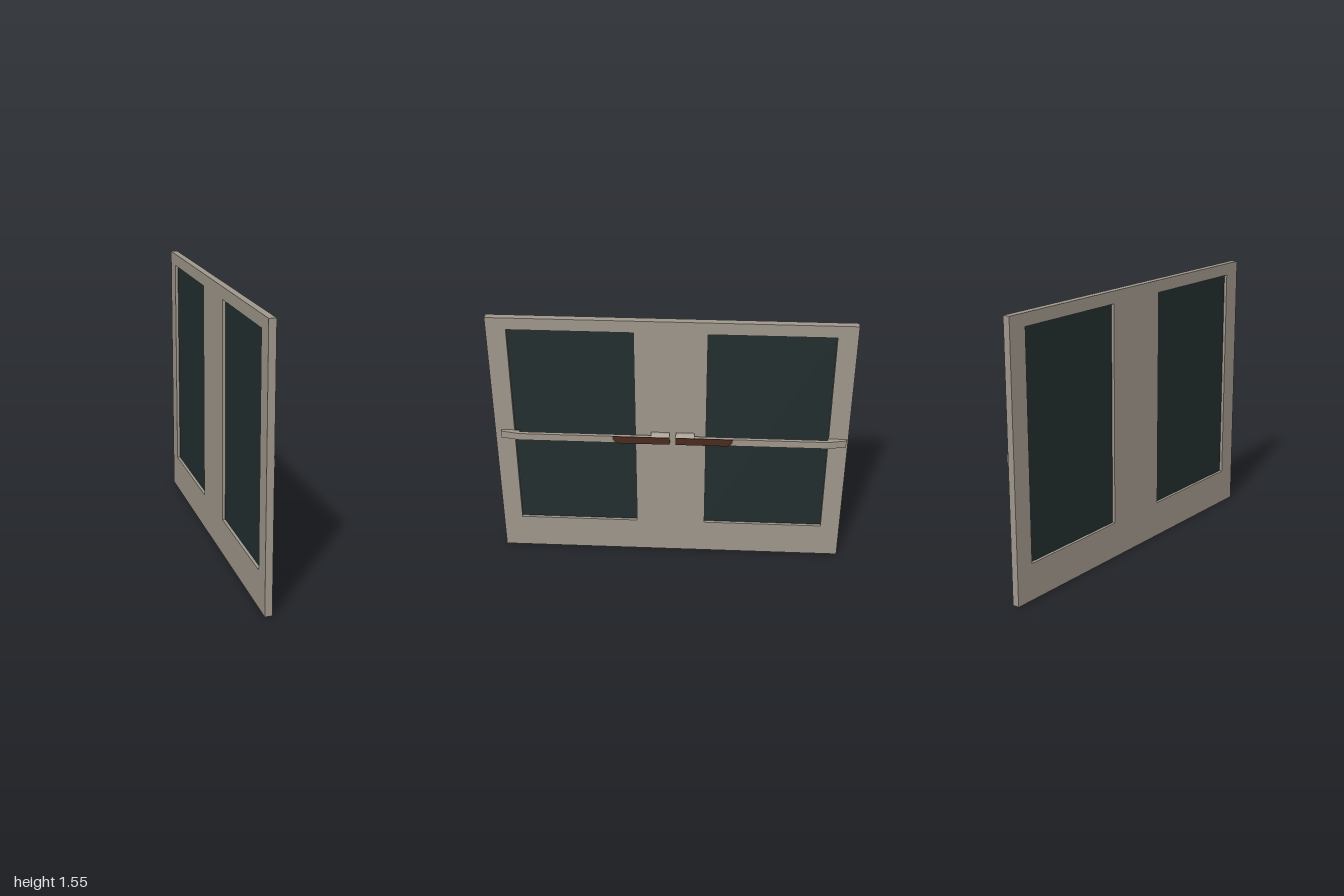
import * as THREE from 'three';

const paint = new THREE.MeshStandardMaterial({ color: 0xa0988c });
paint.name = 'warmGreyPaint';
const glass = new THREE.MeshStandardMaterial({ color: 0x232e2e });
glass.name = 'darkGlass';
const grip = new THREE.MeshStandardMaterial({ color: 0x4a2b20 });
grip.name = 'brownGrip';

const X = new THREE.Vector3(1, 0, 0);
const Y = new THREE.Vector3(0, 1, 0);
const Z = new THREE.Vector3(0, 0, 1);
const SIDE = new THREE.Matrix4().makeBasis(Z.clone().negate(), Y, X); // shape (-z, y), depth along x
const PLAN = new THREE.Matrix4().makeBasis(Z, X, Y);                  // shape (z, x), depth along y

const toShape = (points) => new THREE.Shape(points.map(([a, b]) => new THREE.Vector2(a, b)));

const rect = (a0, b0, a1, b1) => [[a0, b0], [a1, b0], [a1, b1], [a0, b1]];

function extrude(name, shape, depth, material, basis) {
  const geometry = new THREE.ExtrudeGeometry(shape, { depth, bevelEnabled: false });
  if (basis) geometry.applyMatrix4(basis);
  const mesh = new THREE.Mesh(geometry, material);
  mesh.name = name;
  return mesh;
}

// One push bar; sign says which way along z it runs from the centre gap
function makePushBar(sign) {
  const bar = new THREE.Group();
  bar.name = sign > 0 ? 'frontPushBar' : 'rearPushBar';
  const centre = -0.0125;
  const at = (d) => centre + sign * (d + 0.0175);

  // Rail with a sloped foot at the outer end
  const rail = extrude('rail', toShape([
    [at(0), 0.016], [at(0), 0.037], [at(0.855), 0.037], [at(0.96), 0.016],
    [at(0.96), 0], [at(0.855), 0], [at(0.855), 0.016],
  ]), 0.043, paint, PLAN);
  rail.position.y = 0.789;

  // Tapered bracket at the inner end
  const bracket = extrude('bracket', toShape([
    [0, 0.774], [0.014, 0.774], [0.037, 0.788], [0.037, 0.832], [0.014, 0.844], [0, 0.844],
  ]), 0.105, paint);
  bracket.position.z = Math.min(at(0), at(0.105));

  // Thin brown grip plate with a clipped lower corner
  const plate = extrude('gripPlate', toShape([
    [-at(0), 0.788], [-at(0.29), 0.788], [-at(0.312), 0.798],
    [-at(0.322), 0.815], [-at(0.322), 0.833], [-at(0), 0.833],
  ]), 0.004, grip, SIDE);
  plate.position.x = 0.0365;

  bar.add(rail, bracket, plate);
  return bar;
}

export function createModel() {
  const model = new THREE.Group();
  model.name = 'doubleDoor';

  // Door panel with two window openings
  const door = toShape(rect(-1, 0, 1, 1.547));
  const windows = [[-0.89, -0.2], [0.2, 0.89]];
  for (const [a, b] of windows) {
    door.holes.push(new THREE.Path(rect(a, 0.21, b, 1.477).map(([u, v]) => new THREE.Vector2(u, v))));
  }
  const panel = extrude('doorPanel', door, 0.04, paint, SIDE);
  panel.position.x = -0.04;
  model.add(panel);

  // Glass set midway in the panel
  for (const [a, b] of windows) {
    const pane = new THREE.Mesh(new THREE.BoxGeometry(0.006, 1.267, b - a), glass);
    pane.name = 'windowPane';
    pane.position.set(-0.02, 0.8435, (a + b) / 2);
    model.add(pane);
  }

  for (const sign of [1, -1]) model.add(makePushBar(sign));
  return model;
}
